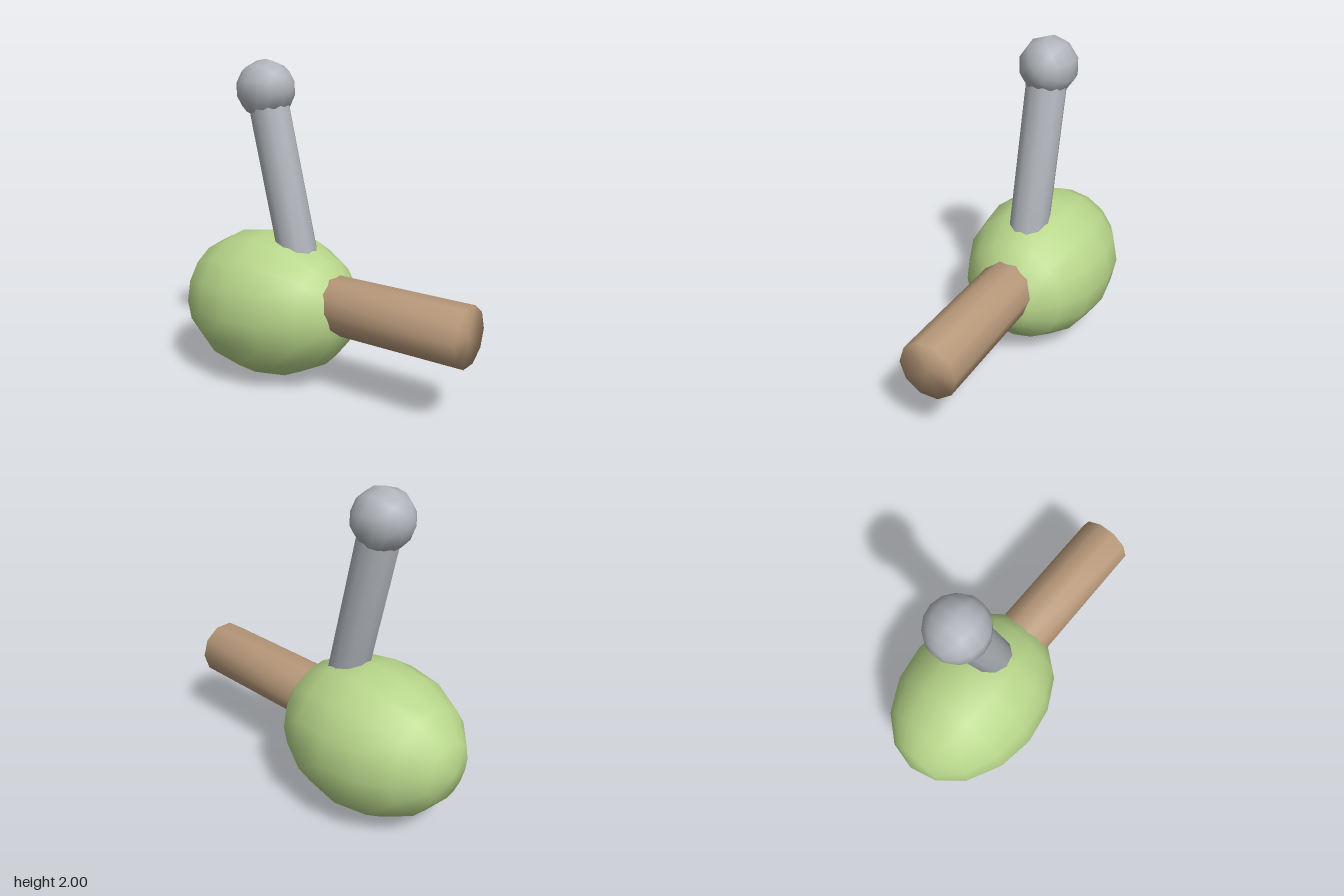
import * as THREE from 'three';
import { mergeVertices } from 'three/addons/utils/BufferGeometryUtils.js';

// Weld all corners so shading runs smoothly over the low-poly shape.
function weld(geometry) {
  geometry.deleteAttribute('uv');
  geometry.deleteAttribute('normal');
  const welded = mergeVertices(geometry, 1e-4);
  welded.computeVertexNormals();
  return welded;
}

// Ten-sided rod between two points, with corners on its left and right.
function rod(from, to, radius) {
  const a = new THREE.Vector3(...from);
  const b = new THREE.Vector3(...to);
  const dir = b.clone().sub(a);
  const geometry = new THREE.CylinderGeometry(radius, radius, dir.length(), 10, 1);
  geometry.rotateY(Math.PI / 2);
  geometry.rotateX(Math.atan2(dir.z, dir.y));
  const mid = a.add(b).multiplyScalar(0.5);
  geometry.translate(mid.x, mid.y, mid.z);
  return weld(geometry);
}

// Ball with its poles on the z axis.
function ball(sides, rings, roll, scale, position) {
  const geometry = new THREE.SphereGeometry(1, sides, rings);
  geometry.rotateX(Math.PI / 2).rotateZ(roll);
  geometry.scale(...scale).translate(...position);
  return weld(geometry);
}

export function createModel() {
  const group = new THREE.Group();
  const material = (name, color) => {
    const m = new THREE.MeshStandardMaterial({ color });
    m.name = name;
    return m;
  };
  const green = material('light green', 0xb8d68a);
  const brown = material('tan brown', 0xb8997a);
  const grey = material('light grey', 0xb0b4ba);

  const add = (name, geometry, mat) => {
    const mesh = new THREE.Mesh(geometry, mat);
    mesh.name = name;
    group.add(mesh);
  };

  // Egg-shaped body, long from front to back
  add('body', ball(16, 8, 0, [0.47, 0.47, 0.605], [0, 0.475, -0.395]), green);
  // Thick bar pointing forward
  add('frontBar', rod([0, 0.55, -0.1], [0, 0.55, 1], 0.18), brown);
  // Lever leaning back, topped by a round knob
  add('lever', rod([0, 0.6, -0.128], [0, 1.82, -0.42], 0.125), grey);
  add('leverKnob', ball(10, 8, Math.PI / 2, [0.18, 0.18, 0.18], [0, 1.82, -0.42]), grey);

  return group;
}
